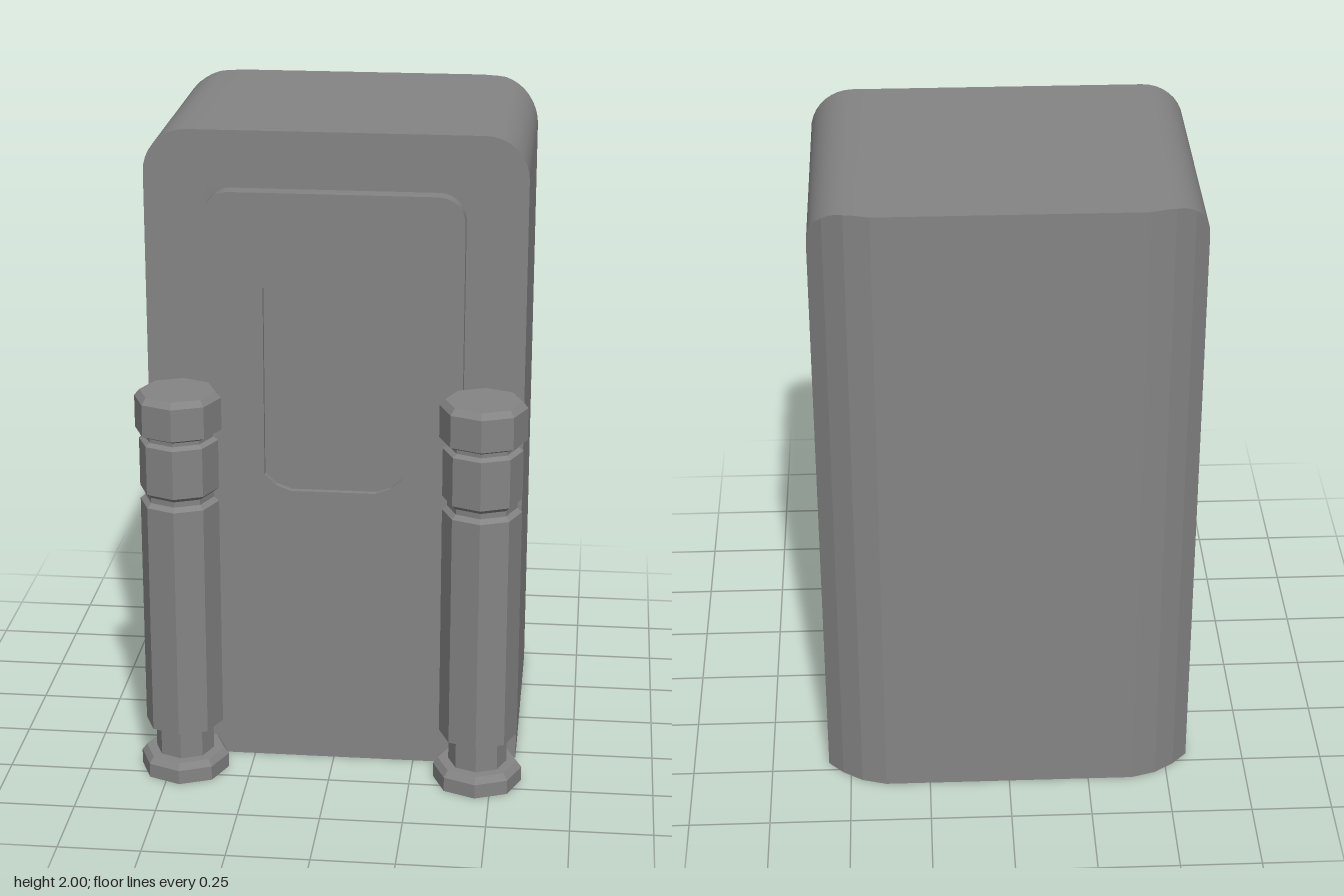
import * as THREE from 'three';
import { toCreasedNormals } from 'three/addons/utils/BufferGeometryUtils.js';

const GREY = 0x848484;
const material = new THREE.MeshStandardMaterial({ color: GREY, side: THREE.DoubleSide });
const postMaterial = new THREE.MeshStandardMaterial({ color: GREY, flatShading: true, side: THREE.DoubleSide });

const FRONT = 0.288, HALF = 0.571, HEIGHT = 2, CORNER = 0.13;
const DOOR_X = 0.389, DOOR_TOP = 1.827, DOOR_Z = 0.341, DOOR_R = 0.08, RECESS_Z = 0.321;

function add(parent, name, geometry, mat = material) {
  const mesh = new THREE.Mesh(geometry, mat);
  mesh.name = name;
  parent.add(mesh);
  return mesh;
}

// Ribbon of quads between two rows of [x, y, z] points
function ribbon(a, b) {
  const index = [];
  const n = a.length;
  for (let i = 0; i < n - 1; i++) index.push(i, i + 1, n + i + 1, i, n + i + 1, n + i);
  const geometry = new THREE.BufferGeometry();
  geometry.setAttribute('position', new THREE.Float32BufferAttribute([...a, ...b].flat(), 3));
  geometry.setIndex(index);
  return toCreasedNormals(geometry, 0.2);
}

// Arch outline from bottom left, over the top, to bottom right
function arch(half, top, radius) {
  const right = [];
  for (let i = 0; i <= 9; i++) {
    const a = (i / 9) * Math.PI / 2;
    right.push([half - radius + radius * Math.sin(a), top - radius + radius * Math.cos(a)]);
  }
  right.push([half, 0]);
  return [...right.map(([x, y]) => [-x, y]).reverse(), ...right];
}

// Plan of the back: flat in the middle, three facets at each corner
const backPlan = [[DOOR_X, -0.577], [0.4636, -0.555], [0.5246, -0.514], [HALF, -0.466]];
function backZ(x) {
  const ax = Math.abs(x);
  if (ax <= DOOR_X) return backPlan[0][1];
  const i = Math.max(1, backPlan.findIndex(([px]) => ax <= px + 1e-6));
  const [[x0, z0], [x1, z1]] = [backPlan[i - 1], backPlan[i]];
  return z0 + (z1 - z0) * (ax - x0) / (x1 - x0);
}

function createCabinet() {
  const cabinet = new THREE.Group();
  cabinet.name = 'cabinet';
  const outline = arch(HALF, HEIGHT, CORNER);

  // Extra columns where the doorway starts and the back begins to turn
  outline.splice(outline.length / 2, 0, [-DOOR_X, HEIGHT], [DOOR_X, HEIGHT]);
  add(cabinet, 'sidesAndTop', ribbon(
    outline.map(([x, y]) => [x, y, FRONT]),
    outline.map(([x, y]) => [x, y, backZ(x)])));

  const columns = outline.slice(1, -1);
  add(cabinet, 'backWall', ribbon(
    columns.map(([x, y]) => [x, y, backZ(x)]),
    columns.map(([x]) => [x, 0, backZ(x)])));

  // Front frame around a square doorway that reaches the ground
  const frame = new THREE.Shape(outline.map(([x, y]) => new THREE.Vector2(x, y)));
  frame.lineTo(DOOR_X, 0);
  frame.lineTo(DOOR_X, DOOR_TOP);
  frame.lineTo(-DOOR_X, DOOR_TOP);
  frame.lineTo(-DOOR_X, 0);
  add(cabinet, 'frontFrame', new THREE.ShapeGeometry(frame)).position.z = FRONT;
  return cabinet;
}

function createDoor() {
  const door = new THREE.Group();
  door.name = 'door';
  const outline = arch(DOOR_X, DOOR_TOP, DOOR_R);

  // Recess outline, counter-clockwise
  const half = [[0.13, 0.895], [0.175, 0.912], [0.211, 0.945], [0.211, 1.537],
    [0.17, 1.537], [0.12, 1.502]];
  const recess = [...half, ...half.map(([x, y]) => [-x, y]).reverse()];
  const toVectors = points => points.map(([x, y]) => new THREE.Vector2(x, y));

  const face = new THREE.Shape(toVectors(outline));
  face.holes.push(new THREE.Path(toVectors(recess)));
  add(door, 'doorFace', new THREE.ShapeGeometry(face)).position.z = DOOR_Z;
  add(door, 'doorEdge', ribbon(
    outline.map(([x, y]) => [x, y, DOOR_Z]),
    outline.map(([x, y]) => [x, y, FRONT])));

  const loop = [...recess, recess[0]];
  add(door, 'recessWall', ribbon(
    loop.map(([x, y]) => [x, y, DOOR_Z]),
    loop.map(([x, y]) => [x, y, RECESS_Z])));
  add(door, 'recessFloor', new THREE.ShapeGeometry(new THREE.Shape(toVectors(recess))))
    .position.z = RECESS_Z;
  return door;
}

// Eight-sided post: hollow foot, neck, shaft, collar and cap
function createPostGeometry() {
  const profile = [
    [0, 0.06], [0.09, 0.06], [0.11, 0], [0.137, 0], [0.137, 0.045], [0.122, 0.065], [0.09, 0.065],
    [0.09, 0.16], [0.12, 0.16], [0.12, 0.893], [0.105, 0.906], [0.105, 0.923],
    [0.12, 0.936], [0.12, 1.088], [0.105, 1.098], [0.105, 1.11],
    [0.131, 1.122], [0.131, 1.222], [0.115, 1.241], [0, 1.241],
  ].map(([r, y]) => new THREE.Vector2(r, y));
  return new THREE.LatheGeometry(profile, 8);
}

export function createModel() {
  const model = new THREE.Group();
  model.name = 'booth';
  model.add(createCabinet(), createDoor());

  const postGeometry = createPostGeometry();
  for (const side of [-1, 1]) {
    const post = add(model, side > 0 ? 'leftPost' : 'rightPost', postGeometry, postMaterial);
    post.position.set(side * 0.457, 0, 0.438);
  }
  return model;
}
